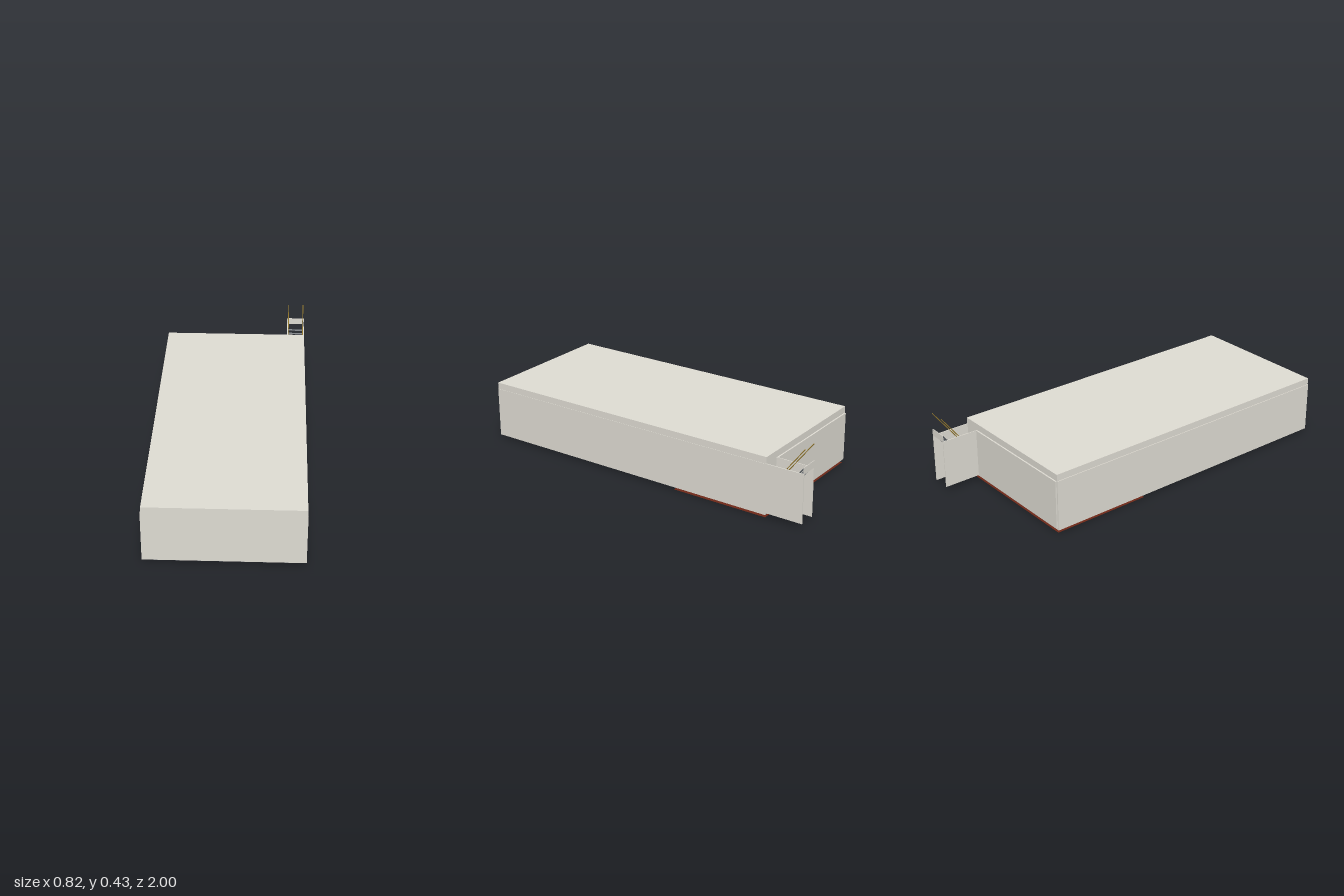
import * as THREE from 'three';

export function createModel() {
  const root = new THREE.Group();
  const mat = (name, color) => {
    const m = new THREE.MeshStandardMaterial({ color });
    m.name = name;
    return m;
  };
  const plaster = mat('warm grey plaster', 0xdfdcd3);
  const floorGrey = mat('floor and tread grey', 0x84878b);
  const carpet = mat('dark red carpet', 0x6e2818);
  const steel = mat('dark steel', 0x565b60);
  const brass = mat('dark brass', 0x9a7d2e);

  // Box given by its minimum and maximum on each axis
  const box = (name, material, [x0, x1], [y0, y1], [z0, z1], parent = root) => {
    const m = new THREE.Mesh(new THREE.BoxGeometry(x1 - x0, y1 - y0, z1 - z0), material);
    m.name = name;
    m.position.set((x0 + x1) / 2, (y0 + y1) / 2, (z0 + z1) / 2);
    parent.add(m);
    return m;
  };

  // Hall: walls with a slightly narrower roof slab and a projecting back wall
  box('hallWalls', plaster, [-0.41, 0.41], [0.0155, 0.298], [-0.786, 1]);
  box('roofSlab', plaster, [-0.406, 0.408], [0.298, 0.335], [-0.786, 1]);
  box('backWall', plaster, [-0.403, 0.308], [0.027, 0.298], [-0.794, -0.786]);

  // Floor panels, separated by hairline seams
  const seams = [1, 0.6, 0.25, -0.22, -0.786];
  for (let i = 0; i < 4; i++) {
    box('floorPanel', floorGrey, [-0.408, 0.408], [0.0148, 0.0155], [seams[i + 1] + 0.0002, seams[i] - 0.0002]);
  }
  box('carpetSheet', carpet, [-0.405, 0.405], [0, 0.0008], [-0.785, -0.222]);

  // Stairwell: two side walls and a lintel over the far end
  const stairs = new THREE.Group();
  stairs.name = 'stairwell';
  root.add(stairs);
  box('stairWallOuter', plaster, [0.405, 0.41], [0.027, 0.299], [-1, -0.786], stairs);
  box('stairWallInner', plaster, [0.308, 0.312], [0.027, 0.299], [-1, -0.786], stairs);
  box('lintel', plaster, [0.308, 0.41], [0.297, 0.335], [-1, -0.997], stairs);

  // Open treads climbing towards the back
  const count = 14, slope = 1.3, zStart = -0.787, run = 0.0133;
  for (let i = 0; i < count; i++) {
    const z = zStart - i * run, y = 0.045 + i * run * slope;
    box('tread', floorGrey, [0.315, 0.402], [y, y + 0.003], [z - run, z], stairs);
  }

  // Sloping bar parallel to the flight, ending at z = -1
  const bar = (name, material, x, yTop, makeGeometry) => {
    const a = new THREE.Vector3(x, yTop - (1 + zStart) * slope, zStart);
    const b = new THREE.Vector3(x, yTop, -0.998);
    const m = new THREE.Mesh(makeGeometry(a.distanceTo(b)), material);
    m.name = name;
    m.position.copy(a).add(b).multiplyScalar(0.5);
    m.lookAt(b);
    stairs.add(m);
  };
  for (const x of [0.315, 0.402]) {
    bar('stringer', steel, x, 0.33, (len) => new THREE.BoxGeometry(0.003, 0.007, len));
    bar('handrail', brass, x, 0.428, (len) => new THREE.CylinderGeometry(0.0024, 0.0024, len, 16).rotateX(Math.PI / 2));
  }
  return root;
}
